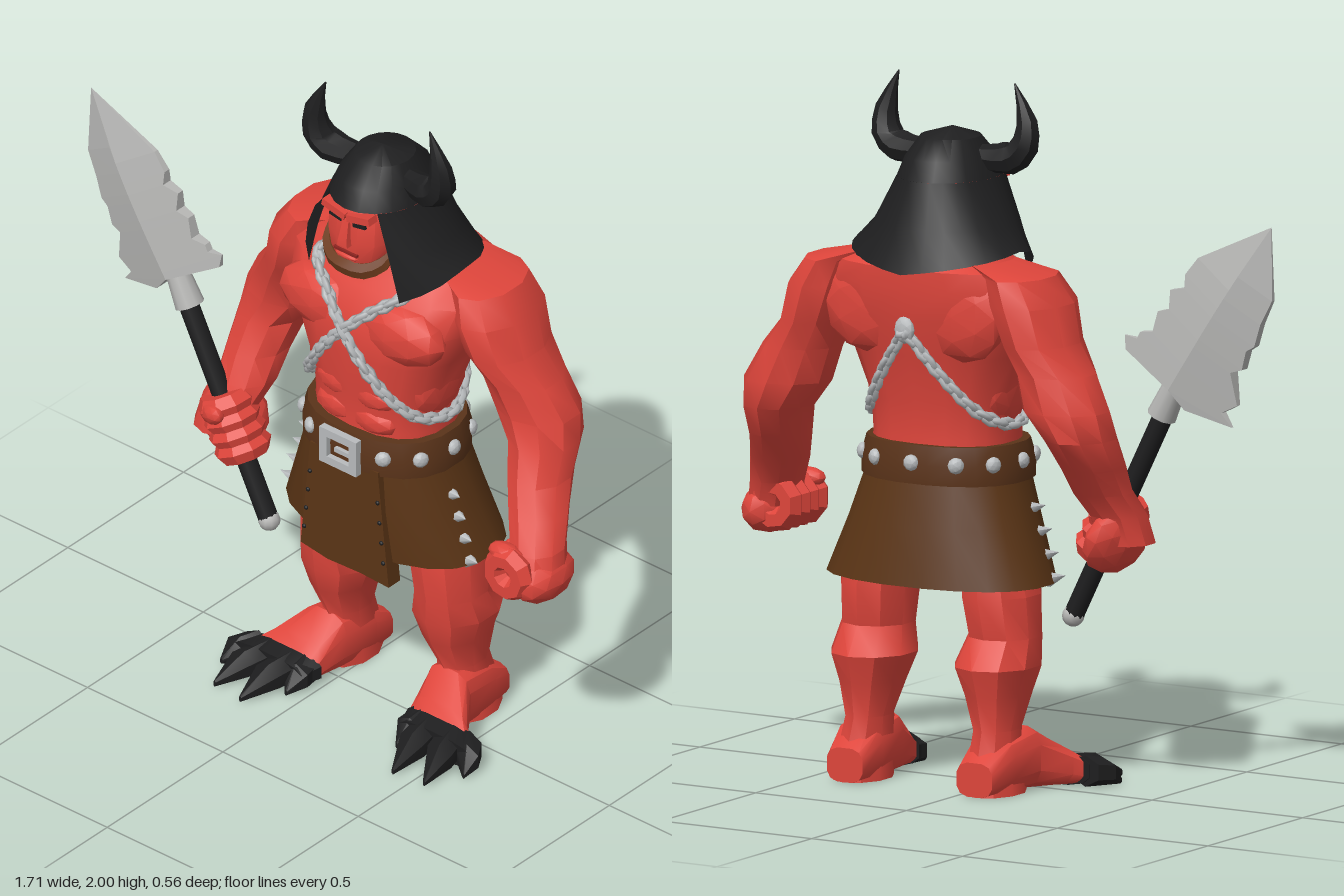
import * as THREE from 'three';
import { mergeGeometries, toCreasedNormals } from 'three/addons/utils/BufferGeometryUtils.js';

const V = (x, y, z) => new THREE.Vector3(x, y, z);
const mat = (name, color, side = THREE.FrontSide) => {
  const m = new THREE.MeshStandardMaterial({ color, side });
  m.name = name;
  return m;
};

// Skin a list of rings (arrays of Vector3) into one surface, outward facing.
function skinRings(rings, { cap = true, closed = true, crease = 0.6 } = {}) {
  const n = rings[0].length, pos = [], idx = [];
  rings.forEach(r => r.forEach(p => pos.push(p.x, p.y, p.z)));
  for (let i = 0; i < rings.length - 1; i++)
    for (let j = 0; j < (closed ? n : n - 1); j++) {
      const a = i * n + j, b = i * n + (j + 1) % n;
      idx.push(a, a + n, b, b, a + n, b + n);
    }
  if (cap) [0, rings.length - 1].forEach((k, end) => {
    const c = rings[k].reduce((s, p) => s.add(p), V(0, 0, 0)).divideScalar(n);
    const ci = pos.length / 3;
    pos.push(c.x, c.y, c.z);
    for (let j = 0; j < n; j++) {
      const a = k * n + j, b = k * n + (j + 1) % n;
      end ? idx.push(ci, b, a) : idx.push(ci, a, b);
    }
  });
  // Flip the winding where the enclosed volume is negative.
  const mid = rings.flat().reduce((s, p) => s.add(p), V(0, 0, 0)).divideScalar(rings.length * n);
  const at = i => V(pos[3 * i], pos[3 * i + 1], pos[3 * i + 2]).sub(mid);
  let vol = 0;
  for (let i = 0; i < idx.length; i += 3) vol += at(idx[i]).dot(at(idx[i + 1]).cross(at(idx[i + 2])));
  if (vol < 0) idx.reverse();
  const g = new THREE.BufferGeometry();
  g.setAttribute('position', new THREE.Float32BufferAttribute(pos, 3));
  g.setIndex(idx);
  return toCreasedNormals(g, crease);
}

const spow = (v, p) => Math.sign(v) * Math.abs(v) ** (2 / p);
// Loft through [x, y, z, halfWidth, halfDepth] sections; axis 'y' = level, 'z' = upright.
function loft(sections, { n = 10, axis = 'y', pow = 2, ...opt } = {}) {
  return skinRings(sections.map(([x, y, z, a, b]) => Array.from({ length: n }, (_, j) => {
    const t = (j + 0.5) / n * Math.PI * 2, u = a * spow(Math.cos(t), pow), v = b * spow(Math.sin(t), pow);
    return axis === 'y' ? V(x + u, y, z + v) : V(x + u, Math.max(0, y + v), z);
  })), opt);
}
// Tapered tube along points, with one radius per point.
function taper(points, radii, n = 7) {
  const curve = new THREE.CatmullRomCurve3(points), seg = (points.length - 1) * 2;
  const f = curve.computeFrenetFrames(seg);
  return skinRings(Array.from({ length: seg + 1 }, (_, i) => {
    const k = Math.min(Math.floor(i / 2), points.length - 2), r = THREE.MathUtils.lerp(radii[k], radii[k + 1], i / 2 - k);
    const c = curve.getPoint(i / seg);
    return Array.from({ length: n }, (_, j) => c.clone()
      .addScaledVector(f.normals[i], r * Math.cos(j / n * Math.PI * 2))
      .addScaledVector(f.binormals[i], r * Math.sin(j / n * Math.PI * 2)));
  }));
}
const outline = pts => new THREE.Shape(pts.map(p => new THREE.Vector2(...p)));

// Torso sections: [x, y, z, halfWidth, halfDepth]
const TORSO = [
  [0, 0.86, -0.035, 0.22, 0.175], [0, 1.0, -0.035, 0.21, 0.165], [0, 1.1, -0.035, 0.215, 0.17],
  [0, 1.24, -0.043, 0.265, 0.195], [0, 1.35, -0.06, 0.315, 0.205], [0, 1.44, -0.09, 0.335, 0.185],
  [0, 1.495, -0.115, 0.29, 0.16], [0, 1.535, -0.1, 0.19, 0.13], [0, 1.62, -0.04, 0.09, 0.09]];
// Depth of the torso surface at x, y on the front (1) or back (-1)
function torsoZ(x, y, side) {
  const i = Math.max(0, TORSO.findIndex(r => r[1] > y) - 1), A = TORSO[i], B = TORSO[i + 1];
  const t = (y - A[1]) / (B[1] - A[1]), [cz, a, b] = [2, 3, 4].map(k => A[k] + (B[k] - A[k]) * t);
  return cz + side * b * Math.max(0, 1 - Math.abs(x / a) ** 2.5) ** 0.4;
}

export function createModel() {
  const root = new THREE.Group(), body = new THREE.Group();
  root.name = 'hornedWarrior';
  body.name = 'body';
  body.position.x = 0.155;
  root.add(body);
  const skin = mat('red skin', 0xde453b), black = mat('black', 0x1e1e1f, THREE.DoubleSide);
  const leather = mat('brown leather', 0x5a3415, THREE.DoubleSide), belt = mat('belt brown', 0x5a3319);
  const hair = mat('beard brown', 0x6b3a1c), steel = mat('steel', 0xb6b6b4, THREE.DoubleSide);
  const silver = mat('silver', 0xb8bbbd), mouthRed = mat('dark red', 0x8c2420);
  const add = (name, geo, m, parent = body) => {
    const o = new THREE.Mesh(geo, m);
    o.name = name;
    parent.add(o);
    return o;
  };
  const lump = (name, p, s, m = skin, parent = body) => {
    const o = add(name, toCreasedNormals(new THREE.IcosahedronGeometry(1, 1), 0.6), m, parent);
    o.position.set(...p);
    o.scale.set(...s);
    return o;
  };
  const box = (name, p, s, m) => {
    const o = add(name, new THREE.BoxGeometry(...s), m);
    o.position.set(...p);
    return o;
  };
  const aim = (o, dir) => o.quaternion.setFromUnitVectors(V(0, 1, 0), dir.clone().normalize());

  // Torso and head
  add('torso', loft(TORSO, { n: 18, pow: 2.5 }), skin);
  add('head', loft([[0, 1.51, 0.05, 0.065, 0.08], [0, 1.55, 0.055, 0.092, 0.095], [0, 1.62, 0.05, 0.112, 0.1],
    [0, 1.7, 0.045, 0.11, 0.1], [0, 1.78, 0.01, 0.09, 0.09]], { n: 12, pow: 2.5 }), skin);
  add('nose', loft([[0, 1.607, 0.15, 0.026, 0.024], [0, 1.627, 0.15, 0.022, 0.022], [0, 1.69, 0.14, 0.014, 0.014]], { n: 4 }), skin);
  box('mouth', [0, 1.582, 0.15], [0.085, 0.008, 0.009], mouthRed);
  lump('lowerLip', [0, 1.567, 0.145], [0.042, 0.01, 0.014]);
  add('beard', taper([V(-0.115, 1.6, 0.075), V(-0.1, 1.56, 0.105), V(-0.055, 1.533, 0.133), V(0, 1.53, 0.14),
    V(0.055, 1.533, 0.133), V(0.1, 1.56, 0.105), V(0.115, 1.6, 0.075)], [0.01, 0.022, 0.026, 0.028, 0.026, 0.022, 0.01], 6), hair);

  // Helmet: closed dome and flared neck guard, open at the face
  const arc = (y, cz, a, b, lim, hem) => Array.from({ length: 21 }, (_, j) => {
    const t = (j / 10 - 1) * lim;
    return V(a * Math.sin(t), hem ? hem(Math.abs(t)) : y, cz - b * Math.cos(t));
  });
  const loop = (...r) => arc(...r, Math.PI);
  add('helmetDome', skinRings([loop(1.865, -0.01, 0.001, 0.001), loop(1.84, -0.02, 0.085, 0.09),
    loop(1.785, -0.02, 0.122, 0.145), loop(1.73, -0.018, 0.143, 0.174)], { cap: false }), black);
  const hem = t => t < 1.6 ? 1.48 + 0.065 * t / 1.6 : 1.545 - 0.085 * (t - 1.6) / 0.87;
  add('helmetGuard', skinRings([arc(1.73, -0.018, 0.143, 0.174, 2.47), arc(1.6, -0.038, 0.21, 0.2, 2.47),
    arc(0, -0.062, 0.268, 0.225, 2.47, hem)], { cap: false, closed: false }), black);

  // Chain links laid along a path over the torso, diving under the skin above the knot
  const chainPath = s => new THREE.CatmullRomCurve3([
    [0, 1.32, -1], [0.06, 1.39, -0.19], [0.14, 1.5, -0.06], [0.165, 1.47, 1], [0.08, 1.4, 1], [0, 1.325, 1], [-0.08, 1.23, 1],
    [-0.15, 1.13, 1], [-0.2, 1.06, 1], [-0.225, 1.04, -0.05], [-0.18, 1.08, -1], [-0.09, 1.2, -1], [0, 1.32, -1]]
    .map(([x, y, f]) => V(s * x, y, Math.abs(f) < 1 ? f : torsoZ(x, y, f) + (f > 0 ? 0.018 : -0.006))));
  const chain = s => {
    const c = chainPath(s), links = [];
    for (let i = 0; i < 58; i++) {
      const g = new THREE.TorusGeometry(0.012, 0.0105, 5, 8).scale(0.95, 1.6, 1).rotateY(i % 2 ? 1.1 : -0.3);
      const q = new THREE.Quaternion().setFromUnitVectors(V(0, 1, 0), c.getTangentAt(i / 58));
      const p = c.getPointAt(i / 58);
      links.push(g.applyQuaternion(q).translate(p.x, p.y, p.z));
    }
    return mergeGeometries(links);
  };

  for (const s of [-1, 1]) {
    const side = s > 0 ? 'left' : 'right';
    const mir = rows => rows.map(([x, ...r]) => [s * x, ...r]);
    // Face details
    box(side + 'Brow', [s * 0.045, 1.706, 0.135], [0.085, 0.022, 0.036], skin).rotation.z = s * 0.22;
    box(side + 'Eye', [s * 0.043, 1.683, 0.141], [0.045, 0.015, 0.009], black).rotation.z = s * 0.18;
    // Horns
    add(side + 'Horn', taper([V(s * 0.1, 1.785, -0.01), V(s * 0.18, 1.787, 0), V(s * 0.224, 1.82, 0.005), V(s * 0.232, 1.89, 0.012), V(s * 0.192, 2.0, 0.012)],
      [0.036, 0.048, 0.046, 0.033, 0.002], 8), black);
    // Chest, belly and back muscles
    lump(side + 'Pec', [s * 0.135, 1.335, 0.075], [0.165, 0.1, 0.075]);
    lump(side + 'BackMuscle', [s * 0.15, 1.37, -0.205], [0.15, 0.14, 0.055]);
    lump(side + 'Flank', [s * 0.19, 1.15, -0.03], [0.04, 0.12, 0.11]);
    [1.18, 1.1, 1.02].forEach(y => lump(side + 'Ab', [s * 0.062, y, 0.092], [0.085, 0.05, 0.047]));
    add(side + 'Chain', chain(s), silver);

    // Arms: the right hand is held closer in, gripping the spear
    const low = s > 0
      ? [[0.525, 0.95, -0.08, 0.088, 0.105], [0.56, 0.87, -0.03, 0.087, 0.09], [0.6, 0.79, 0.02, 0.078, 0.085], [0.62, 0.72, 0.04, 0.075, 0.09]]
      : [[0.505, 0.95, -0.07, 0.09, 0.105], [0.505, 0.87, -0.02, 0.087, 0.09], [0.525, 0.8, 0.03, 0.085, 0.085], [0.545, 0.72, 0.045, 0.082, 0.085]];
    add(side + 'Arm', loft(mir([[0.2, 1.515, -0.12, 0.05, 0.1], [0.3, 1.485, -0.12, 0.09, 0.135], [0.335, 1.41, -0.115, 0.11, 0.158],
      [0.37, 1.3, -0.12, 0.1, 0.145], [0.42, 1.22, -0.13, 0.115, 0.12], [0.46, 1.12, -0.145, 0.13, 0.118],
      [0.5, 1.04, -0.13, 0.1, 0.118], ...low]), { n: 10 }), skin);
    // Fist: four fingers curled about the grip axis, with palm and thumb
    const fist = new THREE.Group();
    fist.name = side + 'Fist';
    body.add(fist);
    if (s > 0) fist.position.set(0.578, 0.73, 0.05);
    else {
      fist.position.set(-0.479, 0.75, 0.07);
      fist.quaternion.setFromUnitVectors(V(0, 0, 1), V(-0.444, 0.896, 0).normalize());
    }
    for (let k = 0; k < 4; k++) {
      const f = add('finger', toCreasedNormals(new THREE.TorusGeometry(0.05, 0.036, 6, 9), 0.6), skin, fist);
      f.position.z = (k - 1.5) * 0.046;
    }
    lump('palm', s > 0 ? [0.055, -0.025, -0.015] : [-0.075, 0.03, 0], s > 0 ? [0.07, 0.075, 0.11] : [0.055, 0.1, 0.105], skin, fist);
    lump('thumb', s > 0 ? [-0.02, 0.055, 0.06] : [0.02, -0.055, 0.06], [0.06, 0.03, 0.034], skin, fist);

    // Legs and clawed feet
    add(side + 'Leg', loft(mir([[0.17, 0.74, -0.06, 0.08, 0.09], [0.2, 0.56, -0.07, 0.112, 0.13], [0.21, 0.44, -0.065, 0.105, 0.115],
      [0.205, 0.36, -0.095, 0.122, 0.142], [0.208, 0.28, -0.095, 0.09, 0.12], [0.212, 0.18, -0.11, 0.064, 0.085],
      [0.215, 0.1, -0.12, 0.072, 0.1], [0.22, 0, -0.13, 0.078, 0.108]]), { n: 10 }), skin);
    add(side + 'Foot', loft(mir([[0.215, 0.05, -0.238, 0.06, 0.05], [0.22, 0.08, -0.15, 0.08, 0.08], [0.228, 0.09, -0.03, 0.08, 0.09],
      [0.265, 0.06, 0.05, 0.1, 0.06], [0.285, 0.045, 0.08, 0.118, 0.045]]), { n: 12, axis: 'z', pow: 3 }), skin);
    add(side + 'ToeCap', loft(mir([[0.282, 0.046, 0.068, 0.125, 0.047], [0.31, 0.04, 0.13, 0.132, 0.04]]), { n: 12, axis: 'z', pow: 3 }), black);
    [[0.215, 0.205, 0.17], [0.25, 0.282, 0.277], [0.335, 0.387, 0.265], [0.39, 0.447, 0.165]].forEach(([x0, x1, z1]) =>
      add(side + 'Claw', loft(mir([[x0, 0.045, 0.07, 0.05, 0.045], [x0 + (x1 - x0) * 0.5, 0.04, 0.07 + (z1 - 0.07) * 0.5, 0.05, 0.04],
        [x1, 0.01, z1, 0.005, 0.01]]), { n: 6, axis: 'z' }), black));

    // Skirt spikes and the rivets on the front panel
    for (let k = 0; k < 4; k++) {
      const y = 0.8 - k * 0.065, sp = add('skirtSpike', new THREE.ConeGeometry(0.025, 0.055, 6), silver);
      sp.position.set(s * (0.273 + k * 0.022), y, 0.0);
      aim(sp, V(s, 0.25, 0.25));
      lump('rivet', [s * (0.125 + k * 0.007), y - 0.01, 0.159], [0.007, 0.007, 0.006], black);
    }
  }
  lump('chainKnot', [0, 1.32, torsoZ(0, 1.32, -1) - 0.006], [0.032, 0.04, 0.018], silver);

  // Skirt, front panel, belt
  add('skirt', loft([[0, 0.9, -0.03, 0.235, 0.185], [0, 0.75, -0.045, 0.285, 0.205], [0, 0.59, -0.068, 0.347, 0.217]],
    { n: 20, cap: false, pow: 2.3 }), leather);
  add('frontPanel', new THREE.ExtrudeGeometry(outline([[-0.125, 0.89], [-0.16, 0.535], [-0.06, 0.52], [0.06, 0.525], [0.165, 0.52], [0.125, 0.89]]),
    { depth: 0.05, bevelEnabled: false }).translate(0, 0, 0.108), leather);
  add('belt', loft([[0, 0.875, -0.03, 0.25, 0.2], [0, 0.93, -0.03, 0.25, 0.203], [0, 0.985, -0.03, 0.235, 0.19]], { n: 20, pow: 2.3 }), belt);
  const frame = outline([[-0.068, 0.865], [0.068, 0.865], [0.068, 0.98], [-0.068, 0.98]]);
  frame.holes.push(outline([[-0.04, 0.89], [-0.04, 0.955], [0.04, 0.955], [0.04, 0.89]]));
  add('buckle', new THREE.ExtrudeGeometry(frame, { depth: 0.022, bevelEnabled: false }).translate(0, 0, 0.164), silver);
  box('bucklePin', [0.015, 0.922, 0.176], [0.06, 0.014, 0.014], silver);
  for (let k = 1; k < 12; k++) {
    const t = k / 12 * Math.PI * 2, x = 0.25 * spow(Math.sin(t), 2.3), z = 0.203 * spow(Math.cos(t), 2.3);
    const stud = lump('beltStud', [x * 0.98, 0.935, z * 0.98 - 0.03], [0.024, 0.018, 0.024], silver);
    aim(stud, V(x, 0, z));
  }

  // Spear
  const spear = new THREE.Group();
  spear.name = 'spear';
  root.add(spear);
  const rod = (name, a, b, r0, r1, m) => {
    const o = add(name, new THREE.CylinderGeometry(r1, r0, a.distanceTo(b), 10), m, spear);
    o.position.copy(a).lerp(b, 0.5);
    aim(o, b.clone().sub(a));
  };
  const Z = 0.075;
  rod('shaft', V(-0.19, 0.48, Z), V(-0.5, 1.105, Z), 0.029, 0.029, black);
  rod('socket', V(-0.485, 1.085, Z), V(-0.535, 1.185, Z), 0.043, 0.034, steel);
  add('pommel', new THREE.SphereGeometry(0.032, 10, 8), steel, spear).position.set(-0.192, 0.485, Z);
  // Jagged blade: notches cut into smooth sides that slope from a central ridge
  const edge = [[-0.85, 1.66], [-0.61, 1.55], [-0.57, 1.5], [-0.57, 1.46], [-0.52, 1.45], [-0.52, 1.395], [-0.48, 1.385], [-0.465, 1.325],
    [-0.42, 1.32], [-0.41, 1.3], [-0.365, 1.305], [-0.37, 1.265], [-0.47, 1.21], [-0.535, 1.17], [-0.58, 1.115], [-0.72, 1.075],
    [-0.69, 1.115], [-0.74, 1.14], [-0.725, 1.235], [-0.76, 1.245], [-0.775, 1.3], [-0.8, 1.315], [-0.82, 1.38], [-0.855, 1.45]];
  const base = V(-0.535, 1.17, Z), axis = V(-0.85, 1.66, Z).sub(base), verts = [];
  const slice = e => {
    const p = V(...e, Z), u = THREE.MathUtils.clamp(p.clone().sub(base).dot(axis) / axis.lengthSq(), 0, 1);
    const mid = base.clone().addScaledVector(axis, u), h = 0.047 * (1 - u ** 3);
    const t = h * Math.max(0.03, 1 - p.distanceTo(mid) / (0.01 + 0.22 * (1 - u ** 3)));
    return f => [p.clone().setZ(Z + f * t), mid.clone().setZ(Z + f * h)];
  };
  edge.forEach((e, i) => {
    const A = slice(e), B = slice(edge[(i + 1) % edge.length]);
    const [a, ra] = A(1), [b, rb] = B(1), [c, rc] = A(-1), [d, rd] = B(-1);
    [a, ra, b, b, ra, rb, c, d, rc, d, rd, rc, a, b, c, b, d, c].forEach(p => verts.push(p.x, p.y, p.z));
  });
  const blade = new THREE.BufferGeometry();
  blade.setAttribute('position', new THREE.Float32BufferAttribute(verts, 3));
  blade.computeVertexNormals();
  add('blade', blade, steel, spear);
  return root;
}
